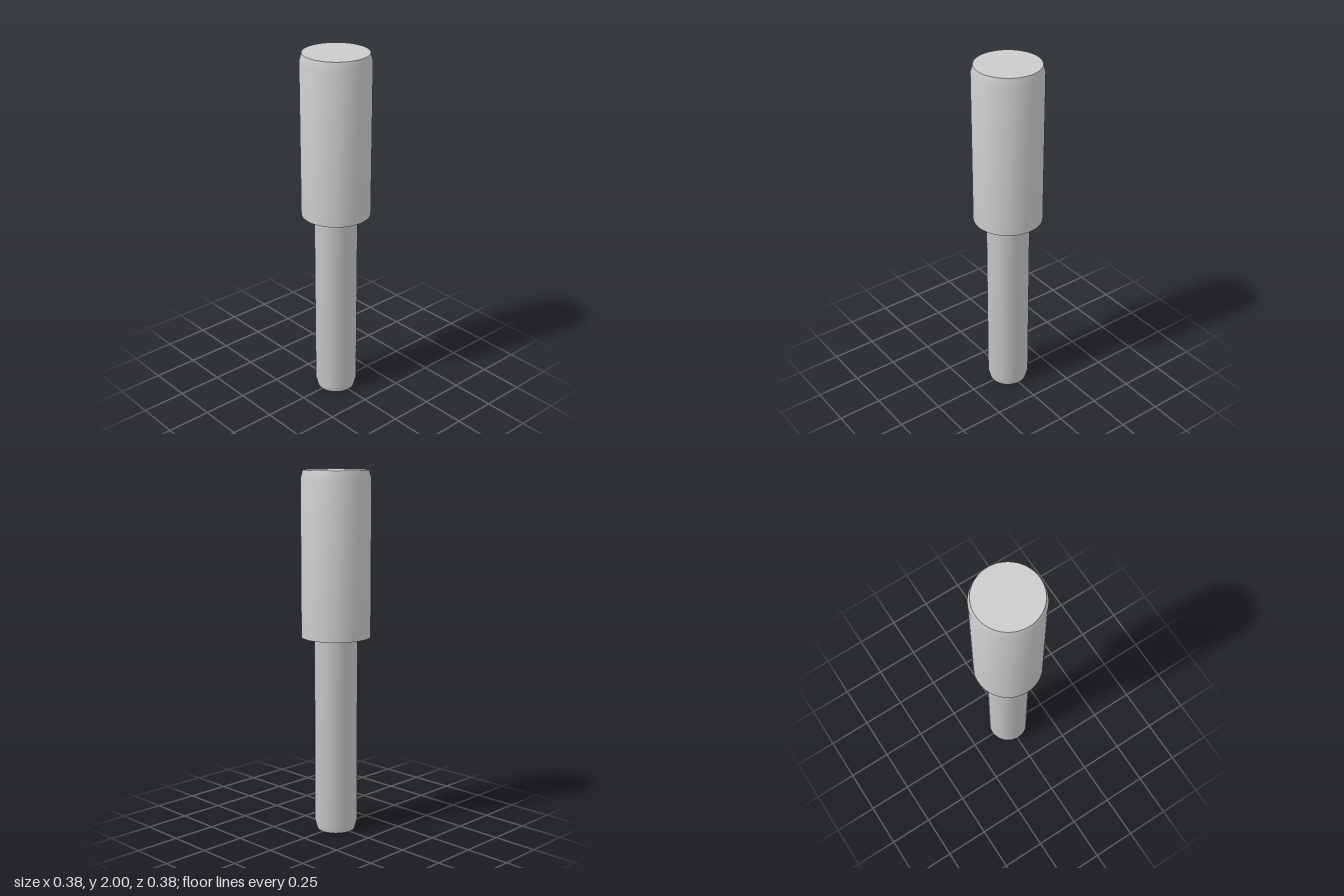
import * as THREE from 'three';
import { toCreasedNormals } from 'three/addons/utils/BufferGeometryUtils.js';

const SIDES = 96;
const material = new THREE.MeshStandardMaterial({ color: 0xcccccc });

// Turned solid from [radius, height] points listed bottom to top
function turned(name, profile) {
  const points = profile.map(([r, y]) => new THREE.Vector2(r, y));
  const geometry = toCreasedNormals(new THREE.LatheGeometry(points, SIDES), 0.6);
  const mesh = new THREE.Mesh(geometry, material);
  mesh.name = name;
  return mesh;
}

export function createModel() {
  const group = new THREE.Group();
  group.name = 'steppedPin';

  const shankR = 0.118, headR = 0.19, stepY = 1.1, fillet = 0.012;

  // Shank: tapered lead-in at the foot, small fillet under the head
  const shank = [[0, 0], [0.106, 0], [shankR, 0.045], [shankR, stepY - fillet]];
  for (let i = 1; i <= 4; i++) {
    const a = (i / 4) * Math.PI / 2;
    shank.push([shankR + fillet * (1 - Math.cos(a)), stepY - fillet * (1 - Math.sin(a))]);
  }
  group.add(turned('shank', shank));

  // Head: flat shoulder, straight wall, tapered top edge and flat cap
  group.add(turned('head', [
    [shankR + fillet, stepY], [headR, stepY], [headR, 1.955], [0.178, 2], [0, 2],
  ]));

  return group;
}
